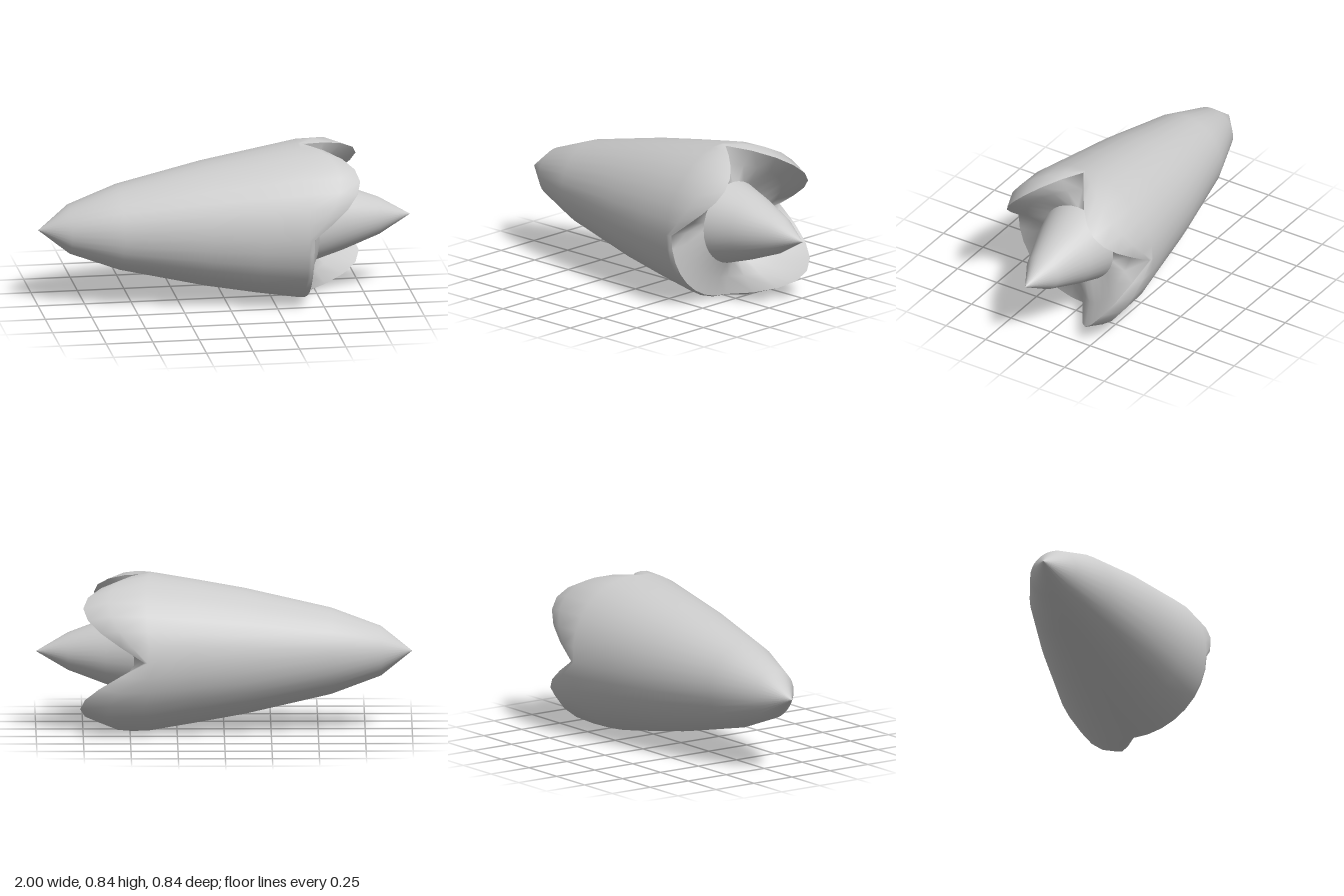
import * as THREE from 'three';

const SIDES = 32;
const AXIS_Y = 0.418;
// petal length per quadrant: upper front, lower front (open), lower back, upper back
const PETALS = [0.79, 0, 1.02, 0.97];

// petal height around the rim: a pointed lobe on each diagonal, a notch between them
function lobe(j) {
  const quadrant = Math.floor((j * 4) / SIDES) % 4;
  return PETALS[quadrant] * Math.abs(Math.sin((j / SIDES) * Math.PI * 4));
}

// skin over rings around the x axis; each ring is [x, radius, x gain, radius gain] per petal height
function skin(name, rings, material) {
  const positions = [];
  const index = [];
  rings.forEach(([x, r, dx = 0, dr = 0], i) => {
    for (let j = 0; j < SIDES; j++) {
      const a = (j / SIDES) * Math.PI * 2;
      const p = lobe(j);
      const radius = r + dr * p;
      positions.push(x + dx * p, AXIS_Y + radius * Math.cos(a), radius * Math.sin(a));
      if (i === rings.length - 1) continue;
      const k = (j + 1) % SIDES;
      const [a0, b0, a1, b1] = [i * SIDES + j, i * SIDES + k, (i + 1) * SIDES + j, (i + 1) * SIDES + k];
      if (r > 0) index.push(a0, b0, a1);
      if (rings[i + 1][1] > 0) index.push(b0, b1, a1);
    }
  });
  const geometry = new THREE.BufferGeometry();
  geometry.setAttribute('position', new THREE.Float32BufferAttribute(positions, 3));
  geometry.setIndex(index);
  geometry.computeVertexNormals();
  const mesh = new THREE.Mesh(geometry, material);
  mesh.name = name;
  return mesh;
}

export function createModel() {
  const group = new THREE.Group();
  group.name = 'petalledPod';
  const material = new THREE.MeshStandardMaterial({ color: 0xcccccc, side: THREE.DoubleSide });
  const rim = [0.425, 0.412, 0.335, -0.03];

  // tapered outer hull, ending in the petalled rim
  group.add(skin('outerHull', [
    [-1, 0], [-0.835, 0.132], [-0.57, 0.23], [-0.11, 0.335],
    [0.16, 0.383], [0.395, 0.42, 0.02, 0.01], [0.41, 0.419, 0.215, 0.017], rim,
  ], material));

  // hollow inside of the petals, down to the foot of the core
  group.add(skin('petalLining', [
    rim, [0.44, 0.31, 0.16, 0.01], [0.48, 0.222],
  ], material));

  // pointed core
  group.add(skin('core', [
    [0.48, 0.222], [0.63, 0.175], [0.83, 0.1], [1, 0],
  ], material));

  return group;
}
